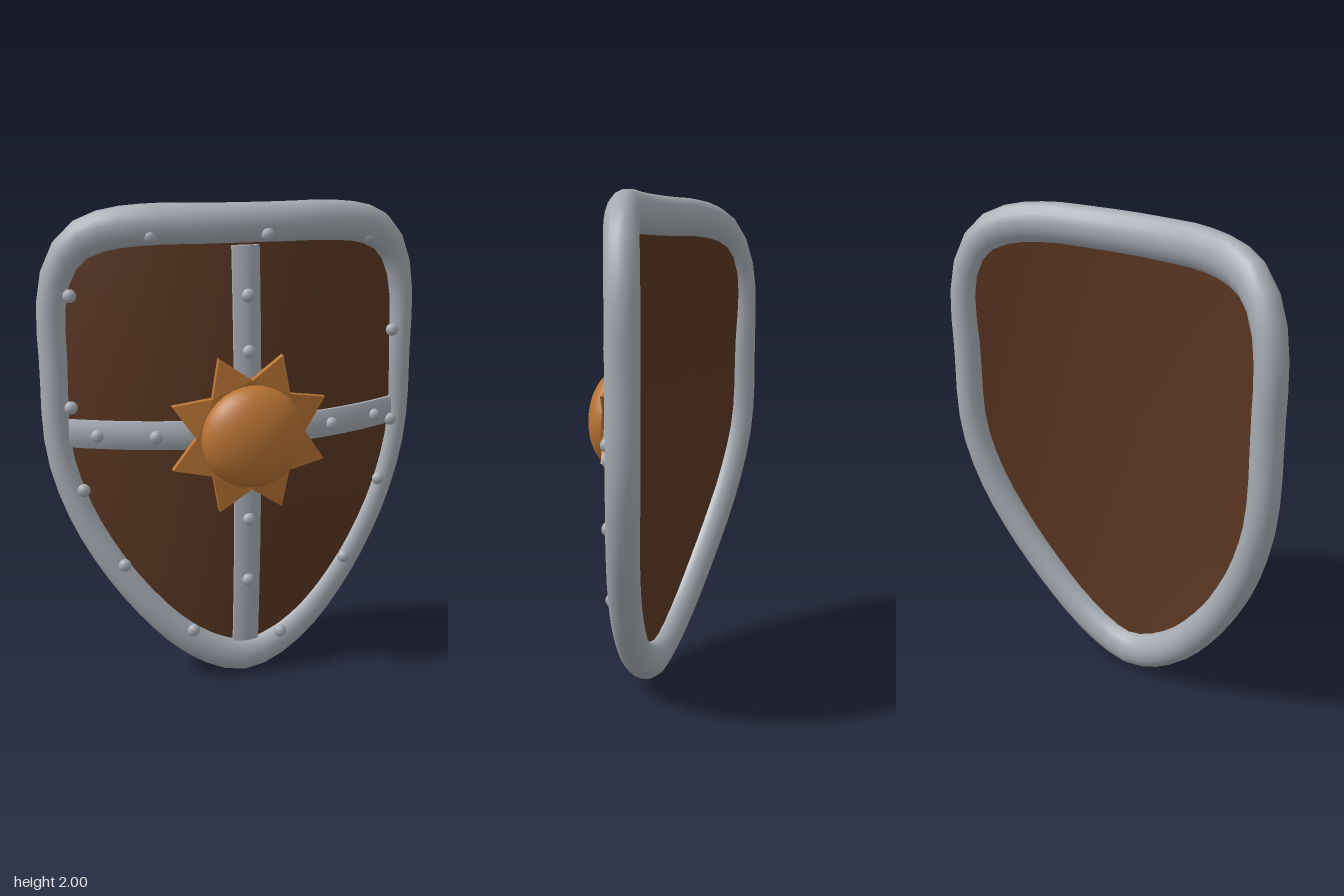
import * as THREE from 'three';

const steel = new THREE.MeshStandardMaterial({ color: 0xa6abb3 });
steel.name = 'steel';
const wood = new THREE.MeshStandardMaterial({ color: 0x5a3621 });
wood.name = 'dark wood';
const copper = new THREE.MeshStandardMaterial({ color: 0xb87333 });
copper.name = 'copper';

// Curved front of the shield: bowed sideways, slightly domed vertically
const frontZ = (x, y) => 0.075 - 0.38 * x * x - 0.035 * ((y - 1) / 0.84) ** 2;

// Right half of the rim centre line, bottom to top
const half = [
  [0, 0.08], [0.12, 0.112], [0.275, 0.215], [0.435, 0.39], [0.555, 0.565], [0.65, 0.75],
  [0.715, 0.95], [0.735, 1.1], [0.735, 1.35], [0.735, 1.6], [0.71, 1.73], [0.65, 1.835],
  [0.55, 1.893], [0.37, 1.92], [0.18, 1.92], [0, 1.92],
];
const outlinePoints = [...half, ...half.slice(1, -1).reverse().map(([x, y]) => [-x, y])]
  .map(([x, y]) => new THREE.Vector3(x, y, -0.015 - 0.3 * x * x));

function add(group, name, geometry, material) {
  const mesh = new THREE.Mesh(geometry, material);
  mesh.name = name;
  group.add(mesh);
  return mesh;
}

// Moves every vertex by a rule, then refreshes the normals
function bend(geometry, rule) {
  const p = geometry.attributes.position;
  const v = new THREE.Vector3();
  for (let i = 0; i < p.count; i++) {
    rule(v.fromBufferAttribute(p, i), i);
    p.setXYZ(i, v.x, v.y, v.z);
  }
  geometry.computeVertexNormals();
  return geometry;
}

// Rim: round tube made in stretched space, so its section is an oval
function rimGeometry() {
  const s = new THREE.Vector3(0.059, 0.08, 0.063);
  const curve = new THREE.CatmullRomCurve3(outlinePoints.map(p => p.clone().divide(s)), true);
  return new THREE.TubeGeometry(curve, 60, 1, 16, true).scale(s.x, s.y, s.z);
}

// One skin of the board: concentric rings fitted to the outline
function boardGeometry(depth, facesBack) {
  const n = 60;
  const edge = new THREE.CatmullRomCurve3(outlinePoints, true).getSpacedPoints(n);
  const geometry = new THREE.RingGeometry(0, 1, n, 10);
  if (facesBack) geometry.index.array.reverse();
  return bend(geometry, (v, i) => {
    const r = Math.floor(i / (n + 1)) / 10;
    const e = edge[i % (n + 1)];
    v.x = e.x * r;
    v.y = 1.1 + (e.y - 1.1) * r;
    v.z = frontZ(v.x, v.y) - depth;
  });
}

// Strap: thin bar with a gently rounded face that follows the board
function strapGeometry(w, h, y, vertical) {
  const geometry = new THREE.BoxGeometry(w, h, 0.03, vertical ? 6 : 28, vertical ? 28 : 6, 1);
  return bend(geometry, v => {
    const across = vertical ? v.x / (w / 2) : v.y / (h / 2);
    const bulge = v.z > 0 ? -0.014 * across * across : 0;
    v.y += y;
    v.z += frontZ(v.x, v.y) - 0.015 + bulge;
  });
}

// Eight-pointed star plate, bent with the shield
function starGeometry() {
  const points = [];
  for (let i = 0; i < 16; i++) {
    const a = i * Math.PI / 8;
    const r = i % 2 ? 0.342 : 0.225;
    points.push(new THREE.Vector2(Math.cos(a) * r, Math.sin(a) * r));
  }
  const geometry = new THREE.ExtrudeGeometry(new THREE.Shape(points), { depth: 0.03, bevelEnabled: false });
  return bend(geometry, v => {
    v.z += 0.097 - 0.4 * v.x * v.x - 0.15 * v.y * v.y;
    v.y += 1.1;
  });
}

export function createModel() {
  const model = new THREE.Group();
  model.name = 'shield';

  add(model, 'rim', rimGeometry(), steel);
  add(model, 'boardFront', boardGeometry(0.03, false), wood);
  add(model, 'boardBack', boardGeometry(0.06, true), wood);
  add(model, 'verticalStrap', strapGeometry(0.11, 1.68, 1.0, true), steel);
  add(model, 'horizontalStrap', strapGeometry(1.39, 0.115, 1.097, false), steel);

  // Central star and domed boss
  add(model, 'star', starGeometry(), copper);
  const boss = new THREE.Group();
  boss.name = 'boss';
  const dome = new THREE.SphereGeometry(0.21, 32, 10, 0, Math.PI * 2, 0, Math.PI / 2);
  add(boss, 'bossDome', dome.rotateX(Math.PI / 2).scale(1, 1, 0.55), copper);
  add(boss, 'bossBase', new THREE.CircleGeometry(0.21, 32).rotateY(Math.PI), copper);
  boss.position.set(0, 1.098, 0.126);
  model.add(boss);

  // Rivets along the rim, then on the straps
  const rivets = [
    [-0.365, 1.88], [0.085, 1.88], [0.54, 1.85], [0.683, 1.45], [0.688, 1.06], [0.63, 0.8], [0.456, 0.476],
    [0.152, 0.183], [-0.23, 0.234], [-0.504, 0.54], [-0.652, 0.864], [-0.685, 1.208], [-0.67, 1.65],
    [0, 1.65], [0, 1.43], [0, 0.73], [0, 0.455],
    [-0.592, 1.097], [-0.37, 1.097], [0.37, 1.097], [0.592, 1.097],
  ];
  const rivetGeometry = new THREE.SphereGeometry(0.027, 12, 8).scale(1, 1, 0.8);
  for (const [x, y] of rivets) {
    add(model, 'rivet', rivetGeometry, steel).position.set(x, y, frontZ(x, y) + 0.002);
  }
  return model;
}
